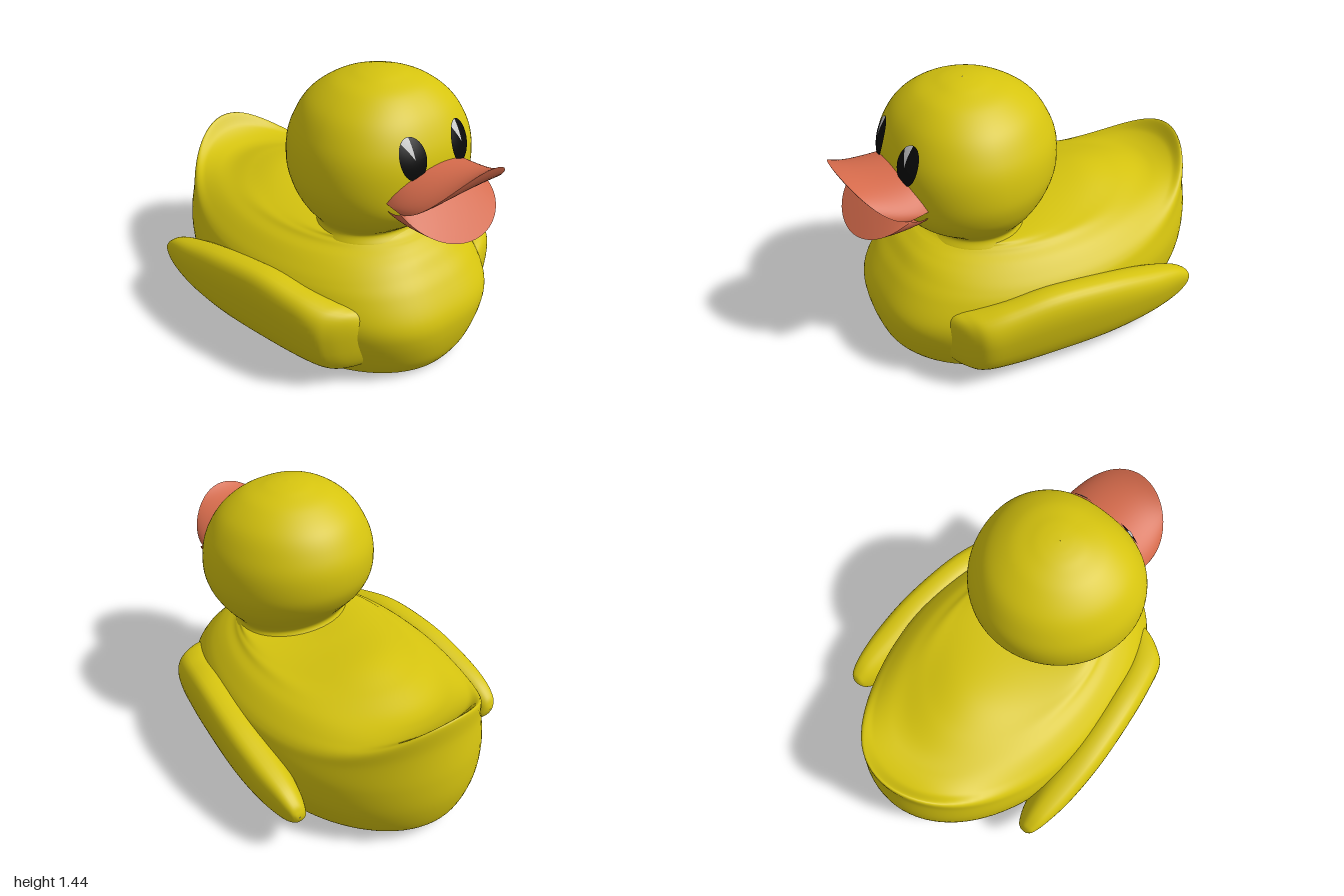
import * as THREE from 'three';

const yellow = new THREE.MeshStandardMaterial({ color: 0xd6c40f });
const orange = new THREE.MeshStandardMaterial({ color: 0xd46a4b, side: THREE.DoubleSide });
const black = new THREE.MeshStandardMaterial({ color: 0x0a0a0a });
const glint = new THREE.MeshStandardMaterial({ color: 0xcccccc });

// Catmull-Rom sample of rows of numbers, t from 0 to 1
function sample(keys, t) {
  const n = keys.length - 1;
  const i = Math.min(Math.floor(t * n), n - 1), f = t * n - i;
  const [a, b, c, d] = [i - 1, i, i + 1, i + 2].map(k => keys[Math.max(0, Math.min(n, k))]);
  return b.map((_, k) => 0.5 * (2 * b[k] + (c[k] - a[k]) * f
    + (2 * a[k] - 5 * b[k] + 4 * c[k] - d[k]) * f * f
    + (3 * b[k] - a[k] - 3 * c[k] + d[k]) * f * f * f));
}

// Grid surface from point(u, v); closed joins the u ends smoothly
function surface(nu, nv, closed, point) {
  const pos = [], idx = [], cols = closed ? nu : nu + 1;
  for (let j = 0; j <= nv; j++)
    for (let i = 0; i < cols; i++) pos.push(...point(i / nu, j / nv));
  for (let j = 0; j < nv; j++)
    for (let i = 0; i < nu; i++) {
      const a = j * cols + i, b = j * cols + (i + 1) % cols;
      idx.push(a, b, a + cols, b, b + cols, a + cols);
    }
  const g = new THREE.BufferGeometry();
  g.setAttribute('position', new THREE.Float32BufferAttribute(pos, 3));
  g.setIndex(idx);
  g.computeVertexNormals();
  return g;
}

// Ring row: front z, back z, middle z, half width, y at front, side and back.
// A power below 1 makes the front half squarer.
function ringPoint([zF, zB, zC, w, yF, yS, yB], u, power = 1) {
  const a = u * Math.PI * 2, s = Math.sin(a), c = Math.cos(a);
  const y = c > 0 ? yS + (yF - yS) * c * c : yS + (yB - yS) * c ** 4;
  const x = c > 0 ? Math.sign(s) * Math.abs(s) ** power : s;
  return [w * x, y, zC + (c > 0 ? zF - zC : zC - zB) * c];
}

const bodyKeys = [
  [.77, -.80, -.02, .52, 0, 0, 0],
  [.80, -.86, -.03, .545, .02, .02, .02],
  [.85, -.94, -.04, .575, .11, .10, .10],
  [.88, -.99, -.05, .61, .25, .22, .27],
  [.87, -.997, -.05, .62, .36, .36, .45],
  [.80, -.975, -.05, .60, .48, .46, .65],
  [.74, -.97, -.05, .575, .55, .51, .78], // tail ridge
  [.70, -.91, -.04, .53, .595, .56, .705],
  [.66, -.82, -.02, .48, .625, .605, .66],
  [.63, -.72, 0, .43, .645, .635, .65],
  [.61, -.55, .05, .40, .655, .655, .69],
  [.59, -.35, .12, .37, .665, .665, .72],
  [.575, -.10, .22, .34, .675, .675, .70],
  [.56, .07, .31, .31, .685, .68, .68],
];
// The chest is squarest halfway up
function bodyPoint(u, v) {
  const row = sample(bodyKeys, v);
  return ringPoint(row, u, 1 - .27 * Math.sin(Math.PI * Math.min(1, Math.max(0, row[5] / .69))));
}

// Head row: y, half width, front z, back z, middle z
const headKeys = [
  [.66, .325, .58, .05, .315], [.70, .31, .56, .07, .315], [.74, .335, .61, .05, .32],
  [.80, .385, .68, 0, .33], [.88, .43, .725, -.065, .35], [.98, .455, .735, -.11, .36],
  [1.1, .447, .73, -.116, .36], [1.2, .412, .70, -.085, .36], [1.3, .345, .64, -.02, .35],
  [1.38, .24, .55, .09, .34], [1.42, .135, .45, .195, .335], [1.435, .065, .39, .265, .33],
  [1.44, .001, .33, .328, .329],
];
const headPower = .84;
const headRow = t => {
  const [y, w, zF, zB, zC] = sample(headKeys, t);
  return [zF, zB, zC, w, y, y, y];
};

// Front surface of the head at x, y
function headZ(x, y) {
  let lo = 0, hi = 1;
  for (let k = 0; k < 24; k++) {
    const m = (lo + hi) / 2;
    if (headRow(m)[4] < y) lo = m; else hi = m;
  }
  const [zF, , zC, w] = headRow(lo);
  return zC + (zF - zC) * Math.sqrt(Math.max(0, 1 - Math.abs(x / w) ** (2 / headPower)));
}

// Disc or wedge laid on the face
function eyePatch(cx, cy, lift, start, length) {
  const g = new THREE.RingGeometry(0.001, 1, 40, 8, start, length), p = g.attributes.position;
  for (let i = 0; i < p.count; i++) {
    const ex = p.getX(i), ey = p.getY(i);
    const x = cx + ex * .067, y = cy + ey * .095;
    p.setXYZ(i, x, y, headZ(x, y) + lift + .006 * (1 - ex * ex - ey * ey));
  }
  g.computeVertexNormals();
  return g;
}

// Wing row: z, top y, bottom y, outer x, inner x; the front end sinks into the chest
const wingKeys = [
  [.71, .34, .20, .36, .28], [.66, .42, .12, .485, .30], [.61, .45, .09, .575, .32],
  [.55, .47, .08, .63, .36], [.42, .50, .07, .66, .42], [.20, .53, .065, .695, .46],
  [-.10, .50, .07, .73, .50], [-.35, .44, .10, .737, .53], [-.52, .385, .14, .72, .57],
  [-.605, .33, .195, .70, .605], [-.63, .29, .235, .68, .63], [-.636, .262, .26, .662, .655],
];
function wing(side) {
  const pw = v => Math.sign(v) * Math.abs(v) ** .8;
  return surface(40, 66, true, (u, v) => {
    const [z, yT, yB, xO, xI] = sample(wingKeys, v);
    const a = u * Math.PI * 2 * side;
    const y = (yT + yB) / 2 - pw(Math.sin(a)) * (yT - yB) / 2;
    const x = (xO + xI) / 2 + pw(Math.cos(a)) * (xO - xI) / 2 + .2 * (y - .36);
    return [side * x, y, z];
  });
}

// Bill curve across the face: centre y, z; corner y, z; half width; y and z powers
const billCurve = (yc, zc, yk, zk, hw, p, q) => u => {
  const a = (u - .5) * Math.PI, k = Math.max(0, Math.cos(a));
  return [hw * Math.sin(a), yk + (yc - yk) * k ** p, zk + (zc - zk) * k ** q];
};
// Sheet bent from one bill curve to another past a control curve
const billSheet = (A, C, B) => surface(40, 14, false, (u, v) => {
  const a = A(u), c = C(u), b = B(u);
  return a.map((_, i) => a[i] * (1 - v) ** 2 + 2 * c[i] * v * (1 - v) + b[i] * v * v);
});

export function createModel() {
  const model = new THREE.Group();
  const add = (name, geometry, material, parent = model) => {
    const m = new THREE.Mesh(geometry, material);
    m.name = name;
    parent.add(m);
  };

  add('body', surface(96, 104, true, bodyPoint), yellow);
  add('head', surface(80, 84, true, (u, v) => ringPoint(headRow(v), u, headPower)), yellow);

  // Flat base with a small plugged hole
  add('base', surface(96, 1, true, (u, v) =>
    ringPoint(v ? bodyKeys[0] : [.045, -.045, 0, .045, 0, 0, 0], u)), yellow);
  add('baseHole', surface(32, 2, true, (u, v) => {
    const r = v < .4 ? .001 : .045, y = v < .9 ? .05 : 0;
    return ringPoint([r, -r, 0, r, y, y, y], u);
  }), yellow);

  add('leftWing', wing(1), yellow);
  add('rightWing', wing(-1), yellow);

  for (const [name, x] of [['leftEye', .15], ['rightEye', -.15]]) {
    add(name, eyePatch(x, 1.157, .006, 0, Math.PI * 2), black);
    add(name + 'Glint', eyePatch(x, 1.157, .009, Math.PI / 2, .68), glint);
  }

  // Open bill: chin, lower inside, roof and top
  const bill = new THREE.Group();
  bill.name = 'bill';
  model.add(bill);
  const chinBase = billCurve(.84, .70, .93, .62, .25, 1.1, 1);
  const lowerRim = billCurve(.812, .965, .952, .76, .278, 1.15, .9);
  const mouth = billCurve(.985, .78, .955, .755, .277, 1, 1);
  const upperRim = billCurve(1.17, 1.0, .958, .76, .28, 1.65, .9);
  const topBase = billCurve(1.105, .70, .97, .62, .26, 1.2, 1);
  add('chin', billSheet(chinBase, billCurve(.825, .84, .93, .71, .285, 1.1, .9), lowerRim), orange, bill);
  add('lowerBillInside', billSheet(lowerRim, billCurve(.92, .86, .953, .758, .278, 1.1, .9), mouth), orange, bill);
  add('billRoof', billSheet(mouth, billCurve(1.03, .95, .957, .758, .28, 1.4, .9), upperRim), orange, bill);
  add('upperBill', billSheet(upperRim, billCurve(1.085, .90, .975, .70, .29, 1.4, .9), topBase), orange, bill);

  return model;
}
